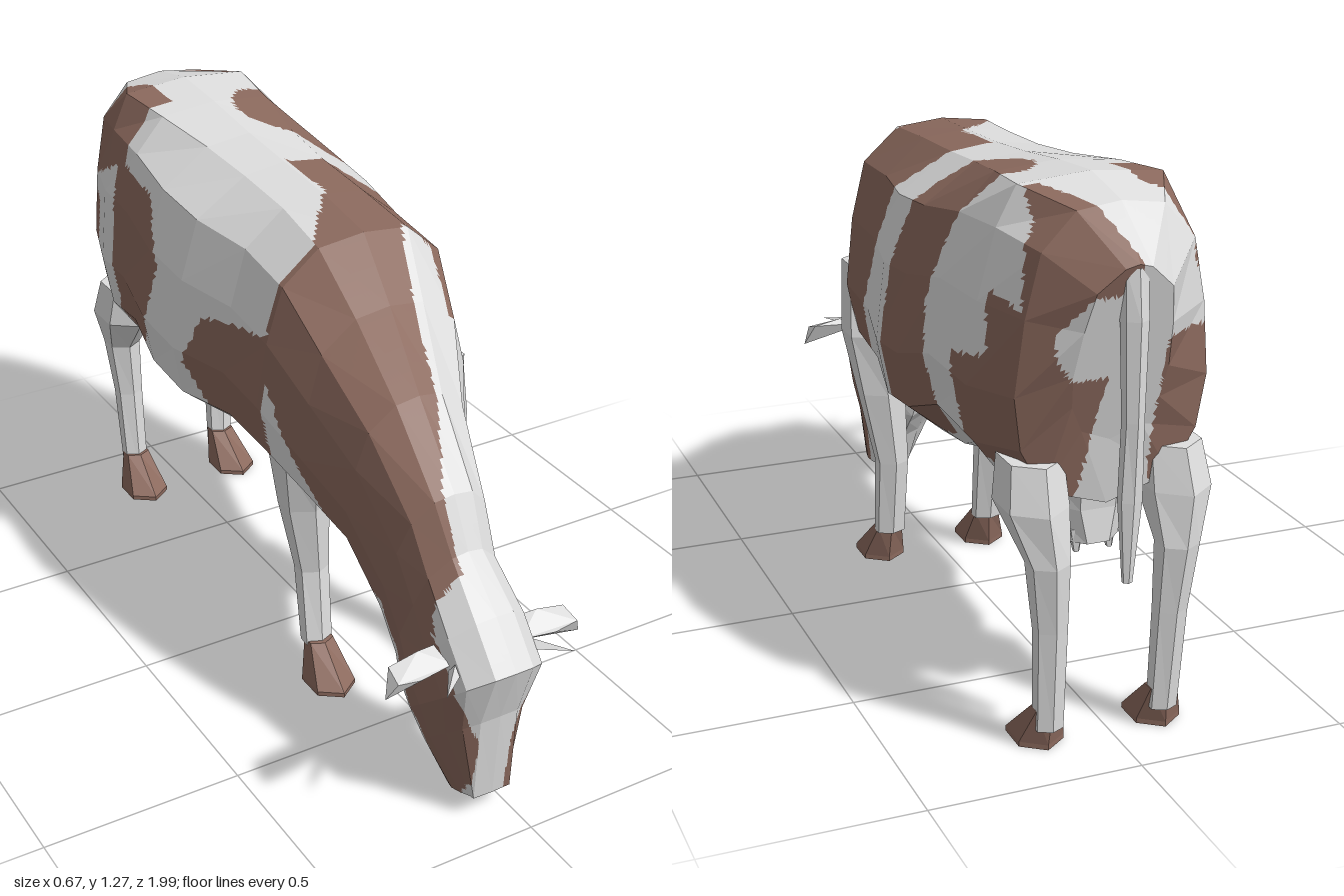
import * as THREE from 'three';
import { ConvexGeometry } from 'three/addons/geometries/ConvexGeometry.js';

const V = (x, y, z) => new THREE.Vector3(x, y, z);
const MID = 0.02; // body mirror plane

// Coat patches as [z, y] outlines, each with a limit on x where it crosses the back
const leftPatches = [ // shoulder, loin, rump and brisket
  { on: (x, z) => x > 0.03 - Math.max(0, z) * 0.75, p: [[.385, 1.01], [.235, 1.12], [.2, 1.3], [-.24, 1.3], [-.11, 1.115], [.04, .79], [.05, .6], [.165, .5], [.18, .72], [.35, .875]] },
  { on: (x, z) => x > 0.06 + 4 * (z + 0.49) ** 2, p: [[-.34, 1.3], [-.63, 1.3], [-.53, 1.14], [-.475, .955], [-.51, .71], [-.4, .59], [-.19, .58], [-.19, .85], [-.29, 1.14]] },
  { on: (x, z) => x > 0.02 + (z + 0.98) * 0.5, p: [[-.7, 1.3], [-.89, 1.3], [-1, 1.12], [-.9, .98], [-.915, .74], [-.89, .6], [-.77, .58], [-.64, .69], [-.62, .875], [-.75, .905], [-.73, 1.045], [-.84, 1.02], [-.81, 1.17]] },
  { on: (x) => x > -0.1, p: [[.525, .45], [.445, .74], [.35, .63], [.29, .45]] },
];
const rightPatches = [ // shoulder, loin, rump and thigh
  { on: (x) => x < -0.1, p: [[.22, .98], [-.1, .9], [-.18, .75], [-.05, .6], [.1, .55], [.22, .65]] },
  { on: (x) => x < -0.1, p: [[-.32, .95], [-.42, 1.1], [-.65, 1.12], [-.6, .75], [-.66, .62], [-.5, .6], [-.37, .75]] },
  { on: (x, z) => x < -0.07 - Math.max(0, -0.76 - z) * 0.8, p: [[-.62, 1.3], [-.6, 1.12], [-.85, 1], [-.9, 1.3]] },
  { on: (x) => x < -0.07, p: [[-.79, .95], [-.93, .96], [-.93, .6], [-.78, .6]] },
];
const neckPatch = [[.21, 1.3], [.2, .9], [.35, .7], [.55, .5], [.8, .45], [.85, .8], [.4, 1.3]];
const headPatch = [[.605, .805], [.48, .795], [.565, .69], [.66, .42], [.78, .23], [.82, .05], [.96, .05], [.925, .435], [.835, .5], [.7, .7]];

function inside(poly, z, y) {
  let hit = false;
  poly.forEach(([z1, y1], i) => {
    const [z2, y2] = poly[(i + 1) % poly.length];
    if ((y1 > y) !== (y2 > y) && z < z1 + ((y - y1) * (z2 - z1)) / (y2 - y1)) hit = !hit;
  });
  return hit;
}

function isBrown({ x, y, z }) {
  const painted = (patch) => patch.on(x, z) && inside(patch.p, z, y);
  if (leftPatches.some(painted) || rightPatches.some(painted)) return true;
  // one side of the neck, divided by a slanting pale stripe
  const stripe = y > 0.8 ? 0.11 - (1.2 - y) * 0.52 : -0.1;
  if (x < stripe && inside(neckPatch, z, y)) return true;
  // cheeks, leaving a pale blaze that widens up the face
  const blaze = y > 0.5 ? 0.06 : Math.min(0.11, 0.045 + Math.max(0, y - 0.24) * 0.43);
  return Math.abs(x + 0.065) > blaze && inside(headPatch, z, y);
}

// Faceted skin over a list of point rings; facets are divided n times so patches can cross them
function loft(rings, paint = () => false, n = 1) {
  const pale = [], dark = [];
  const put = (a, b, c) => {
    const mid = V(0, 0, 0).add(a).add(b).add(c).divideScalar(3);
    const out = paint(mid) ? dark : pale;
    for (const p of [a, b, c]) out.push(p.x, p.y, p.z);
  };
  const tri = (a, b, c) => {
    const at = (i, j) => a.clone().addScaledVector(b.clone().sub(a), i / n).addScaledVector(c.clone().sub(a), j / n);
    for (let i = 0; i < n; i++) {
      for (let j = 0; j < n - i; j++) {
        put(at(i, j), at(i + 1, j), at(i, j + 1));
        if (i + j < n - 1) put(at(i + 1, j), at(i + 1, j + 1), at(i, j + 1));
      }
    }
  };
  const centre = (r) => r.reduce((s, p) => s.add(p), V(0, 0, 0)).divideScalar(r.length);
  const first = rings[0], last = rings[rings.length - 1];
  const c0 = centre(first), c1 = centre(last), m = first.length;
  for (let j = 0; j < m; j++) {
    const k = (j + 1) % m;
    for (let i = 0; i + 1 < rings.length; i++) {
      const a = rings[i][j], b = rings[i][k], c = rings[i + 1][k], d = rings[i + 1][j];
      tri(a, d, c);
      tri(a, c, b);
    }
    tri(first[j], first[k], c0);
    tri(last[k], last[j], c1);
  }
  const g = new THREE.BufferGeometry();
  g.setAttribute('position', new THREE.Float32BufferAttribute(pale.concat(dark), 3));
  g.addGroup(0, pale.length / 3, 0);
  g.addGroup(pale.length / 3, dark.length / 3, 1);
  g.computeVertexNormals();
  return g;
}

// Slanted body ring: top and bottom point, centre x, then half widths at top, middle and bottom
function bodyRing([ty, tz, by, bz, cx, wt, wm, wb]) {
  const half = [[0.02, wt], [0.14, Math.max(wt, wm * 0.78)], [0.35, wm * 0.92], [0.6, wm], [0.78, wm * 0.92], [0.93, wb]];
  const at = (t, w) => V(cx + w, ty + (by - ty) * t, tz + (bz - tz) * t);
  return [at(0, 0), ...half.map(([t, w]) => at(t, w)), at(1, 0), ...half.reverse().map(([t, w]) => at(t, -w))];
}

// Level ring: height, centre x, centre z, radii in x and z
function levelRing([y, cx, cz, rx, rz], sides = 6) {
  return Array.from({ length: sides }, (_, i) => {
    const a = ((i + 0.5) / sides) * Math.PI * 2;
    return V(cx + rx * Math.cos(a), y, cz - rz * Math.sin(a));
  });
}

export function createModel() {
  const cow = new THREE.Group();
  cow.name = 'cow';
  const white = new THREE.MeshStandardMaterial({ color: 0xdedede });
  white.name = 'white coat';
  const brown = new THREE.MeshStandardMaterial({ color: 0x8b695d });
  brown.name = 'brown coat';
  const add = (name, geometry, material) => {
    const mesh = new THREE.Mesh(geometry, material);
    mesh.name = name;
    cow.add(mesh);
  };
  const column = (name, rows, material, sides) => add(name, loft(rows.map((r) => levelRing(r, sides))), material);

  // Rump, barrel and shoulders, then the neck and lowered head
  const trunk = [
    [1.14, -.985, .72, -.86, .03, .03, .11, .07],
    [1.245, -.87, .56, -.83, .02, .1, .225, .15],
    [1.275, -.72, .52, -.68, .02, .17, .275, .17],
    [1.262, -.55, .56, -.5, .02, .15, .295, .16],
    [1.24, -.36, .5, -.37, .02, .12, .315, .15],
    [1.225, -.18, .48, -.22, .02, .11, .31, .15],
    [1.215, .02, .51, -.02, .015, .11, .27, .13],
    [1.2, .23, .53, .18, 0, .12, .272, .12],
    [1.08, .38, .51, .37, -.02, .09, .23, .11],
  ];
  const neckAndHead = [
    [.955, .58, .49, .5, -.065, .06, .16, .08],
    [.79, .745, .37, .6, -.075, .05, .125, .07],
    [.67, .8, .27, .645, -.07, .04, .115, .06],
    [.56, .91, .23, .66, -.065, .05, .13, .06],
    [.46, .995, .2, .69, -.065, .05, .13, .06],
    [.31, .945, .14, .74, -.065, .05, .105, .05],
    [.06, .91, .04, .79, -.05, .05, .065, .05],
  ];
  add('body', loft([...trunk, ...neckAndHead].map(bodyRing), isBrown, 11), [white, brown]);

  for (const s of [1, -1]) {
    const side = s > 0 ? 'left' : 'right';
    const x = (d) => MID + s * d;
    // Legs and wedge-shaped hooves
    column(side + 'FrontLeg', [
      [.84, x(.19), .25, .055, .07], [.66, x(.185), .22, .075, .085], [.5, x(.165), .2, .065, .06],
      [.3, x(.14), .195, .045, .04], [.09, x(.14), .22, .042, .032],
    ], white);
    column(side + 'HindLeg', [
      [.68, x(.165), -.79, .07, .09], [.58, x(.17), -.81, .08, .105], [.46, x(.155), -.87, .05, .052],
      [.3, x(.145), -.865, .04, .038], [.05, x(.14), -.85, .036, .03],
    ], white);
    for (const [name, z] of [['FrontHoof', .232], ['HindHoof', -.845]]) {
      column(side + name, [[.1, x(.14), z, .038, .032], [.012, x(.145), z + .058, .063, .079], [0, x(.145), z + .058, .063, .079]], brown);
    }
    // Ears and slim horns, set about the turned head
    const h = (d, y, z) => V(-.07 + s * d, y, z);
    add(side + 'Ear', new ConvexGeometry([
      h(.09, .475, .83), h(.09, .455, .89), h(.16, .49, .85), h(.235, .475, .85),
      h(.26, .415, .88), h(.18, .45, .9), h(.24, .46, .9),
    ]), white);
    add(side + 'Horn', new ConvexGeometry([h(.1, .47, .91), h(.1, .45, .93), h(.11, .45, .9), h(.17, .455, .985)]), white);
    // Teats
    column(side + 'Teat', [[.48, x(.04), -.76, .02, .02], [.425, x(.04), -.765, .008, .008]], white, 5);
  }

  // Udder, deepest towards the hind legs
  column('udder', [[.62, MID, -.65, .12, .16], [.53, MID, -.67, .11, .13], [.45, MID, -.73, .07, .07]], white, 8);

  // Hanging tail
  column('tail', [
    [1.13, .03, -.96, .03, .025], [1.02, .03, -.965, .03, .033], [.8, .03, -.97, .024, .026],
    [.62, .03, -.965, .028, .022], [.43, .03, -.962, .012, .01],
  ], white);
  return cow;
}
